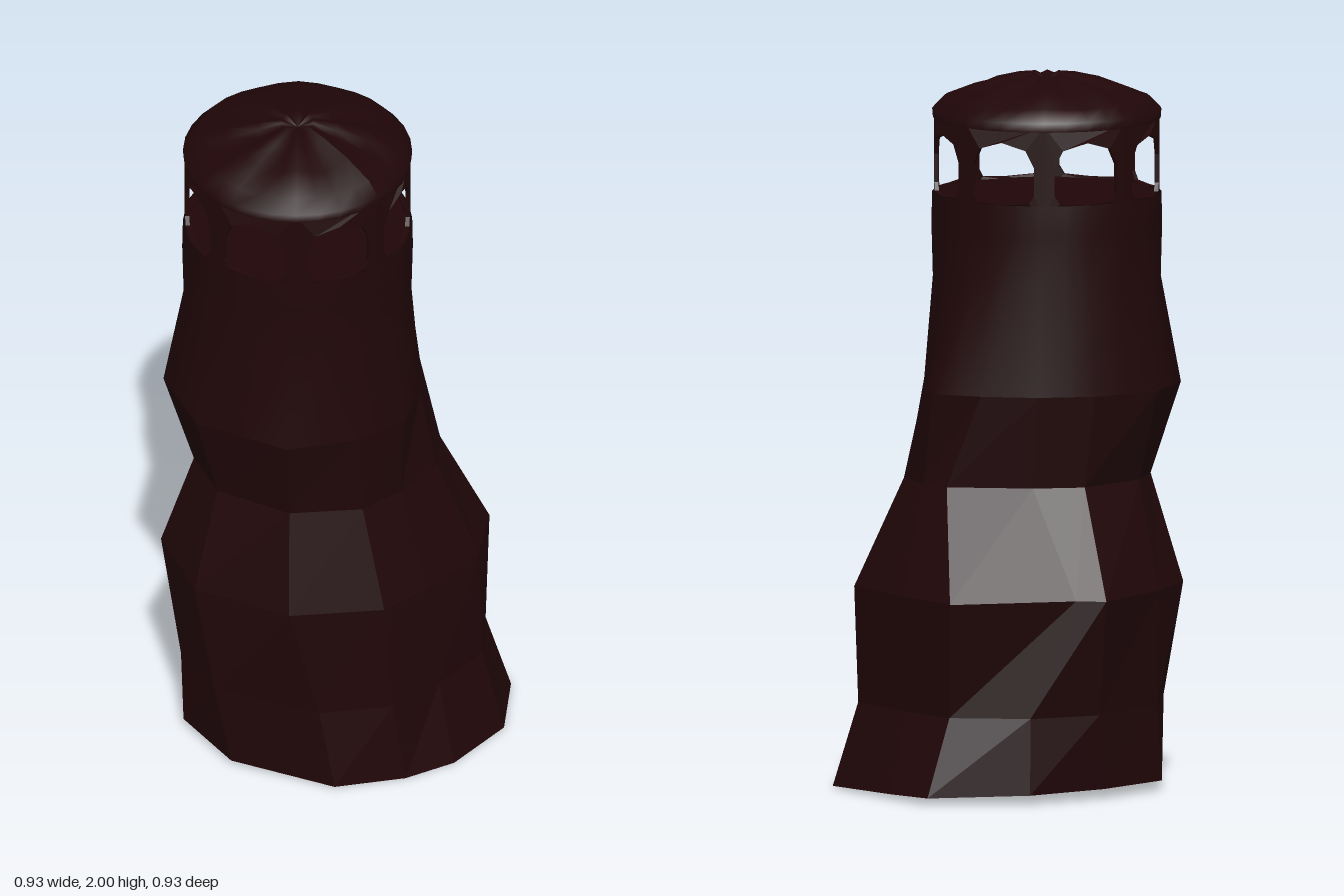
import * as THREE from 'three';

const CX = -0.098, CZ = -0.033; // axis of the lantern room
const stone = new THREE.MeshStandardMaterial({ color: 0x200608, side: THREE.DoubleSide });
stone.name = 'dark stone';

// Uneven [x, z] outlines, from the front round towards +x
const base = [[.03, .46], [.25, .435], [.41, .3], [.455, .02], [.465, -.14], [.25, -.33],
  [.02, -.385], [-.22, -.37], [-.38, -.2], [-.42, .03], [-.295, .315], [-.12, .42]];
const low = [[.03, .4], [.22, .38], [.35, .26], [.39, .02], [.39, -.15], [.24, -.32],
  [.05, -.4], [-.2, -.37], [-.38, -.21], [-.435, -.02], [-.31, .27], [-.14, .39]];
const bulge = [[0, .385], [.22, .365], [.375, .25], [.42, 0], [.445, -.21], [.14, -.4],
  [.085, -.465], [-.18, -.4], [-.36, -.31], [-.465, -.07], [-.37, .21], [-.16, .375]];
const waist = [[-.02, .3], [.14, .28], [.245, .185], [.29, .06], [.295, -.04], [.14, -.225],
  [.02, -.31], [-.2, -.3], [-.32, -.22], [-.385, -.06], [-.32, .16], [-.16, .29]];
const shoulder = [[-.03, .325], [.09, .265], [.21, .14], [.31, 0], [.25, -.13], [.15, -.26],
  [.02, -.35], [-.18, -.395], [-.37, -.29], [-.46, -.07], [-.37, .2], [-.19, .31]];

const atHeight = (ring, y) => ring.map(([x, z]) => [x, y, z]);

// Skin a stack of rings of [x, y, z] points
function loft(rings) {
  const n = rings[0].length, index = [];
  for (let r = 0; r < rings.length - 1; r++) {
    for (let i = 0; i < n; i++) {
      const a = r * n + i, b = r * n + (i + 1) % n;
      index.push(a, b, b + n, a, b + n, a + n);
    }
  }
  const geo = new THREE.BufferGeometry();
  geo.setAttribute('position', new THREE.Float32BufferAttribute(rings.flat(2), 3));
  geo.setIndex(index);
  geo.computeVertexNormals();
  return geo;
}

function faceted(geo) {
  const flat = geo.toNonIndexed();
  flat.computeVertexNormals();
  return flat;
}

function add(parent, geo, name) {
  const mesh = new THREE.Mesh(geo, stone);
  mesh.name = name;
  parent.add(mesh);
  return mesh;
}

// One wall bay with an arched window, bent round the lantern axis
function windowBay() {
  const r = 0.303, half = r * Math.PI / 8, w = r * 0.3;
  const shape = new THREE.Shape([[-half, 1.64], [0, 1.635], [half, 1.64], [half, 1.89], [0, 1.895], [-half, 1.89]]
    .map(p => new THREE.Vector2(...p)));
  shape.holes.push(new THREE.Path([[-w, 1.695], [-w * .85, 1.672], [0, 1.667], [w * .85, 1.672], [w, 1.695],
    [w, 1.775], [w * .75, 1.822], [0, 1.842], [-w * .75, 1.822], [-w, 1.775]]
    .map(p => new THREE.Vector2(...p))));
  const geo = new THREE.ExtrudeGeometry(shape, { depth: 0.012, bevelEnabled: false });
  const pos = geo.attributes.position;
  for (let i = 0; i < pos.count; i++) {
    const angle = pos.getX(i) / r, radius = r + pos.getZ(i);
    pos.setXYZ(i, radius * Math.sin(angle), pos.getY(i), radius * Math.cos(angle));
  }
  geo.computeVertexNormals();
  return geo;
}

export function createModel() {
  const model = new THREE.Group();
  model.name = 'rockTower';

  // Faceted rocky foot, its underside slightly tilted
  const foot = base.map(([x, z]) => [x, Math.max(0, 0.015 - 0.033 * z), z]);
  add(model, faceted(loft([foot, atHeight(low, .24), atHeight(bulge, .57),
    atHeight(waist, .87), atHeight(shoulder, 1.13)])), 'rockyBody');
  const center = foot.map(() => [0, 0.015, 0]);
  add(model, faceted(loft([center, foot])), 'underside');

  // Smooth shaft, blending from the rough shoulder into a round wall
  const fine = shoulder.flatMap((p, i) => {
    const q = shoulder[(i + 1) % shoulder.length];
    return [p, [(p[0] + q[0]) / 2, (p[1] + q[1]) / 2]];
  });
  const round = (radius, y) => fine.map(([x, z]) => {
    const a = Math.atan2(x - CX, z - CZ);
    return [CX + radius * Math.sin(a), y, CZ + radius * Math.cos(a)];
  });
  add(model, loft([atHeight(fine, 1.13), round(.318, 1.43), round(.322, 1.58), round(.32, 1.667)]), 'shaft');

  // Open lantern room
  const lantern = new THREE.Group();
  lantern.name = 'lanternRoom';
  lantern.position.set(CX, 0, CZ);
  model.add(lantern);
  const floor = add(lantern, new THREE.CircleGeometry(.315, 24), 'lanternFloor');
  floor.rotation.x = -Math.PI / 2;
  floor.position.y = 1.664;
  const bay = windowBay();
  for (let i = 0; i < 8; i++) {
    add(lantern, bay, 'windowBay').rotation.y = (i + .5) * Math.PI / 4;
  }

  // Low domed roof with soft radial folds and a dimple at the crown
  const profile = [[.318, 1.875], [.32, 1.9], [.285, 1.934], [.2, 1.962], [.11, 1.984], [.045, 1.998], [0, 1.98]];
  const roof = new THREE.LatheGeometry(profile.map(p => new THREE.Vector2(...p)).reverse(), 32);
  const pos = roof.attributes.position;
  for (let i = 0; i < pos.count; i++) {
    const x = pos.getX(i), z = pos.getZ(i), rad = Math.hypot(x, z);
    const fold = Math.cos(8 * Math.atan2(x, z)) * 0.01 * Math.sin(Math.PI * Math.min(1, rad / .318));
    pos.setY(i, pos.getY(i) + fold);
  }
  roof.computeVertexNormals();
  add(lantern, roof, 'roof');
  return model;
}
